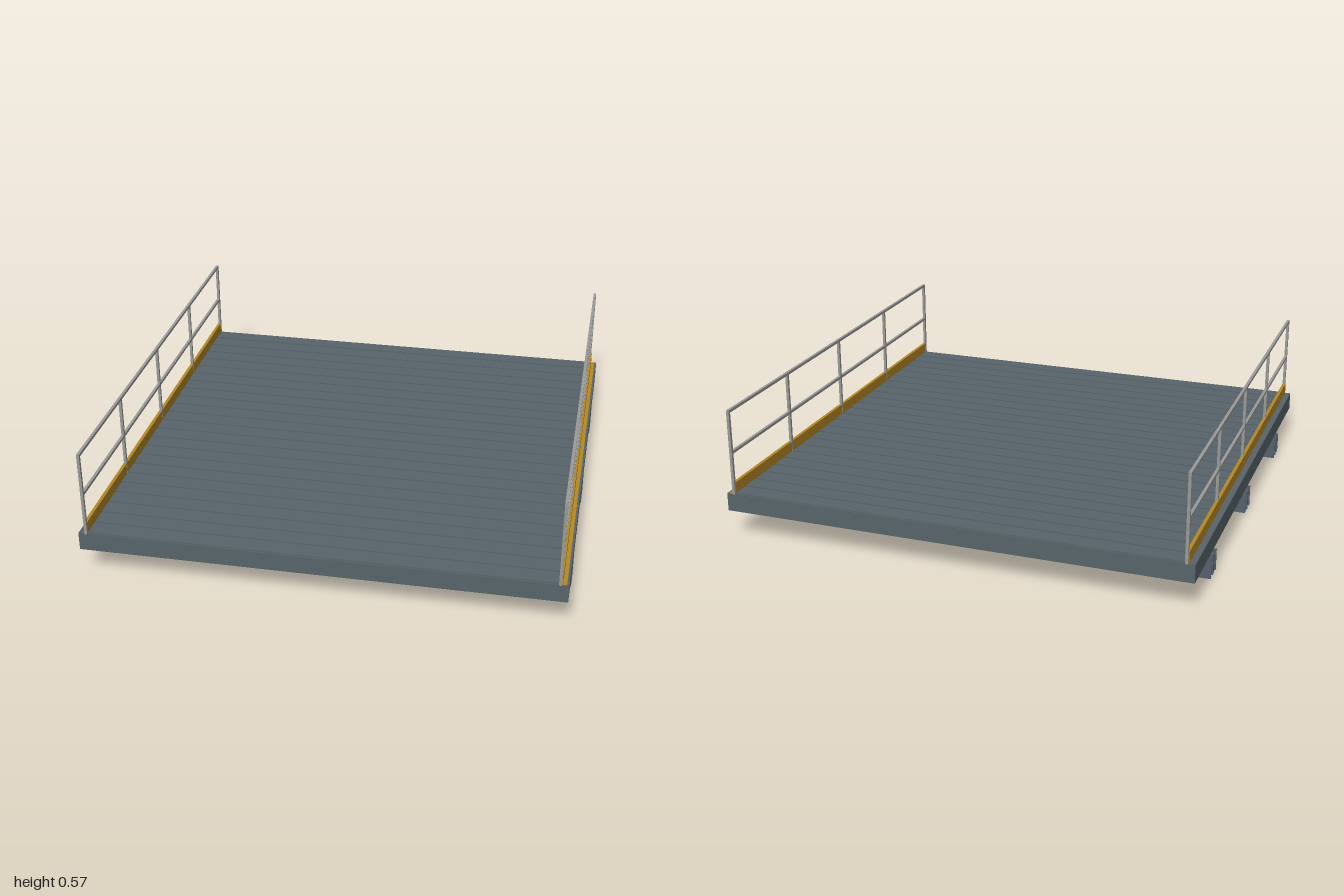
import * as THREE from 'three';

export function createModel() {
  const model = new THREE.Group();
  model.name = 'railedPlatform';

  const material = (name, color) => {
    const m = new THREE.MeshStandardMaterial({ color });
    m.name = name;
    return m;
  };
  const deckGrey = material('deckGrey', 0x57646a);
  const beamGrey = material('beamGrey', 0x56616b);
  const railGrey = material('railGrey', 0x9a9a98);
  const safetyYellow = material('safetyYellow', 0xb58826);

  const box = (parent, name, mat, size, position) => {
    const mesh = new THREE.Mesh(new THREE.BoxGeometry(...size), mat);
    mesh.name = name;
    mesh.position.set(...position);
    parent.add(mesh);
  };
  const group = (name) => {
    const g = new THREE.Group();
    g.name = name;
    model.add(g);
    return g;
  };

  // Deck slab with shallow planks running across it
  const deck = group('deck');
  box(deck, 'deckSlab', deckGrey, [1.99, 0.078, 1.99], [0, 0.159, 0]);
  const planks = 24;
  const pitch = 1.99 / planks;
  for (let i = 0; i < planks; i++) {
    box(deck, 'plank', deckGrey, [1.91, 0.005, pitch - 0.012],
      [0, 0.2, (i - (planks - 1) / 2) * pitch]);
  }

  // Cross beams: a thick web between two thin plates
  for (const z of [-0.663, 0, 0.663]) {
    const beam = group('crossBeam');
    box(beam, 'beamWeb', beamGrey, [1.99, 0.092, 0.016], [0, 0.046, z]);
    for (const side of [-1, 1]) {
      box(beam, 'beamPlate', beamGrey, [1.99, 0.092, 0.006], [0, 0.046, z + side * 0.043]);
    }
  }

  // Guard rails along both sides, with a toe board at the foot
  const bar = 0.012;
  for (const side of [-1, 1]) {
    const rail = group(side > 0 ? 'leftGuardRail' : 'rightGuardRail');
    const x = side * 0.961;
    for (let i = -2; i <= 2; i++) {
      box(rail, 'post', railGrey, [bar, 0.372, bar], [x, 0.384, i * 0.497]);
    }
    box(rail, 'topRail', railGrey, [bar, bar, 2], [x, 0.564, 0]);
    box(rail, 'midRail', railGrey, [bar, bar, 1.99], [x, 0.384, 0]);
    box(rail, 'toeBoard', safetyYellow, [0.014, 0.05, 1.986], [x + side * 0.002, 0.223, 0]);
  }

  // Painted edge strip outside the left rail
  box(model, 'edgeStrip', safetyYellow, [0.018, 0.003, 1.986], [0.977, 0.199, 0]);

  return model;
}
